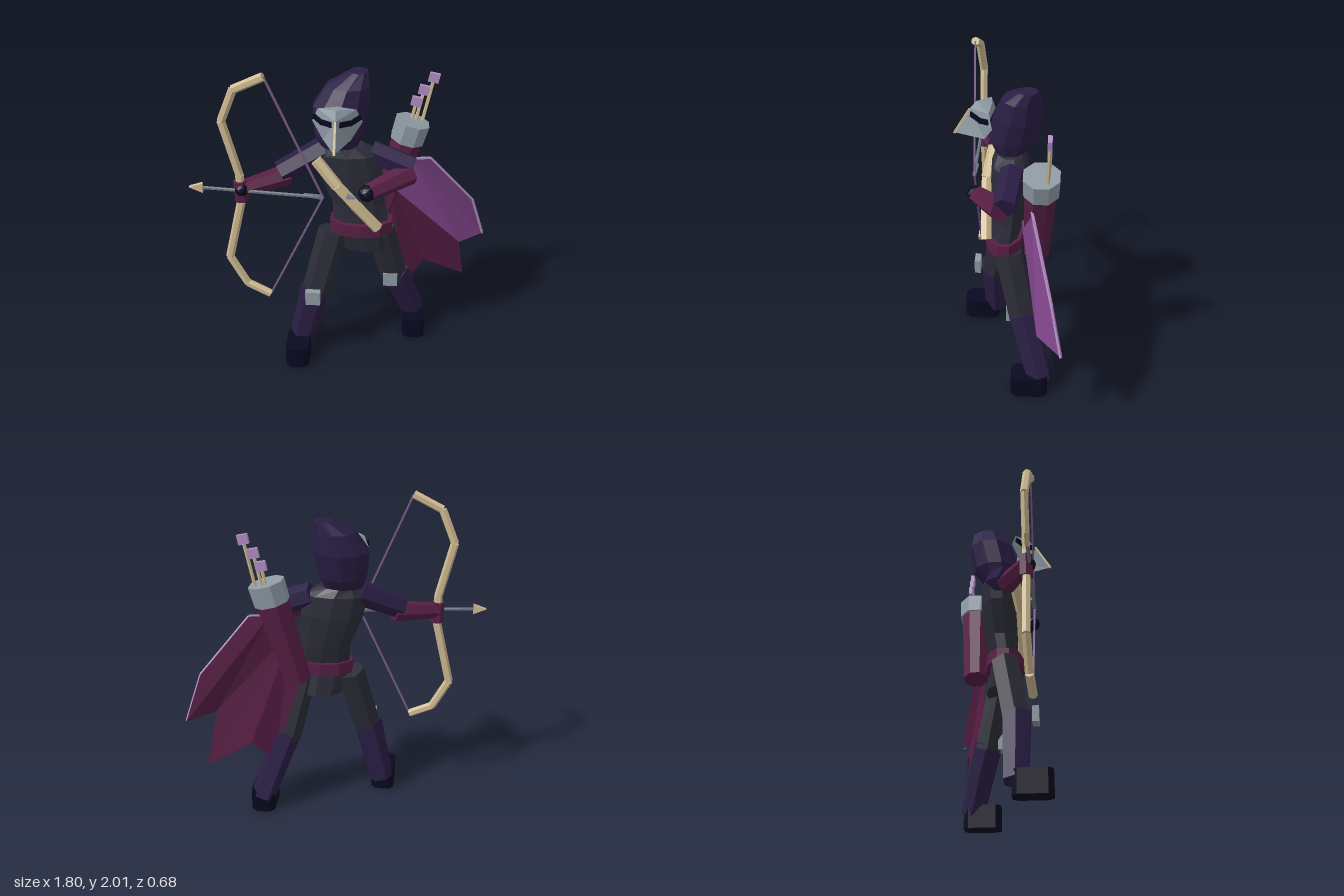
import * as THREE from 'three';

const colours = {
  darkViolet: 0x2a1e45, charcoal: 0x2c2c38, maroon: 0x581f45, capePurple: 0x7c4285, paleSteel: 0x8f9aa4,
  wood: 0xd0bc92, midnight: 0x080820, lilac: 0xb28fc4, arrowSteel: 0x6c767f, bowstringPurple: 0x7d5c8a,
};
const M = {};

// Gives every face its own flat normal
function facet(geometry) {
  const g = geometry.index ? geometry.toNonIndexed() : geometry;
  g.computeVertexNormals();
  return g;
}

export function createModel() {
  const model = new THREE.Group();
  model.name = 'hoodedArcher';
  for (const [name, color] of Object.entries(colours)) {
    M[name] = new THREE.MeshStandardMaterial({ color });
    M[name].name = name;
  }
  M.maroon.side = M.paleSteel.side = THREE.DoubleSide;
  const V = (p) => new THREE.Vector3(...p);
  const add = (name, geometry, material) => {
    const mesh = new THREE.Mesh(facet(geometry), material);
    mesh.name = name;
    model.add(mesh);
    return mesh;
  };
  const box = (name, size, at, material) => {
    const mesh = add(name, new THREE.BoxGeometry(...size), material);
    mesh.position.set(...at);
    return mesh;
  };
  // Tapered prism between two points
  const bar = (name, a, b, ra, rb, material, sides = 6) => {
    const d = V(b).sub(V(a));
    const mesh = add(name, new THREE.CylinderGeometry(rb, ra, d.length(), sides).rotateY(Math.PI / sides), material);
    mesh.position.copy(V(a)).addScaledVector(d, 0.5);
    mesh.quaternion.setFromUnitVectors(new THREE.Vector3(0, 1, 0), d.normalize());
    return mesh;
  };
  const chain = (name, points, r, material, sides) =>
    points.slice(1).forEach((p, i) => bar(name, points[i], p, r, r, material, sides));
  // Stack of elliptical rings, top to bottom: [y, centreX, centreZ, radiusX, radiusZ]
  const loft = (name, rings, material, sides = 10) => {
    const g = new THREE.CylinderGeometry(1, 1, 1, sides, rings.length - 1);
    const p = g.attributes.position;
    for (let i = 0; i < p.count; i++) {
      const [y, cx, cz, rx, rz] = rings[Math.round((0.5 - p.getY(i)) * (rings.length - 1))];
      p.setXYZ(i, cx + p.getX(i) * rx, y, cz + p.getZ(i) * rz);
    }
    return add(name, g, material);
  };
  const ball = (name, at, r, material) => {
    add(name, new THREE.IcosahedronGeometry(r, 1), material).position.set(...at);
  };
  const sheet = (name, points, faces, material) => {
    const g = new THREE.BufferGeometry();
    g.setAttribute('position', new THREE.Float32BufferAttribute(faces.flatMap((f) => f.flatMap((i) => points[i])), 3));
    return add(name, g, material);
  };
  // Flat outline with a thickness
  const slab = (outline, depth) =>
    new THREE.ExtrudeGeometry(new THREE.Shape(outline.map((p) => new THREE.Vector2(...p))), { depth, bevelEnabled: false });
  // Shoe: block with chamfered corners, standing on the ground
  const shoe = (name, x, z) => {
    const w = 0.0735, l = 0.115, c = 0.03;
    const outline = [[w - c, -l], [w, c - l], [w, l - c], [w - c, l], [c - w, l], [-w, l - c], [-w, c - l], [c - w, -l]];
    add(name, slab(outline, 0.145).rotateX(-Math.PI / 2), M.midnight).position.set(x, 0, z);
  };

  // Torso, belt and hood
  loft('torso', [[1.48, -0.02, 0, 0.13, 0.09], [1.43, 0.01, 0, 0.2, 0.11], [1.3, 0.03, 0, 0.2, 0.115],
    [1.1, 0.08, 0.01, 0.165, 0.1], [0.95, 0.1, 0.03, 0.18, 0.09], [0.77, 0.13, 0, 0.16, 0.09]], M.charcoal);
  loft('belt', [[0.99, 0.1, 0.03, 0.2, 0.122], [0.91, 0.1, 0.03, 0.2, 0.122]], M.maroon);
  loft('hood', [[1.9, 0.07, -0.1, 0.055, 0.06], [1.83, 0.01, -0.065, 0.13, 0.115], [1.71, -0.03, -0.045, 0.17, 0.145],
    [1.55, -0.04, -0.01, 0.145, 0.145], [1.48, -0.04, 0, 0.12, 0.1]], M.darkViolet);

  // Beaked mask with eye slits; each half mirrored about its centre line
  for (const s of [-1, 1]) {
    const pts = [[0, 1.78, 0.2], [0.11, 1.755, 0.12], [0.145, 1.67, 0.1], [0.08, 1.575, 0.15], [0, 1.57, 0.325], [0, 1.73, 0.24], [0, 1.765, 0.11]]
      .map(([x, y, z]) => [s * x - 0.04, y, z]);
    const faces = [[0, 5, 1], [1, 5, 2], [2, 5, 3], [3, 5, 4], [0, 1, 6]];
    sheet('maskHalf', pts, s > 0 ? faces : faces.map((f) => [...f].reverse()), M.paleSteel);
    // Two short plates bend each eye into a shallow arc
    for (const [x, z, tilt] of [[0.052, 0.205, -0.15], [0.106, 0.152, 0.22]]) {
      const eye = box('eyeSlit', [0.08, 0.032, 0.009], [s * x - 0.04, 1.702, z], M.midnight);
      eye.rotation.set(0, s * 0.8, s * tilt);
    }
  }
  bar('beakRidge', [-0.04, 1.73, 0.24], [-0.04, 1.57, 0.335], 0.008, 0.01, M.wood, 4);

  // Arms
  bar('rightUpperArm', [-0.13, 1.44, 0], [-0.385, 1.32, 0.1], 0.078, 0.072, M.darkViolet);
  bar('rightForearm', [-0.34, 1.3, 0.08], [-0.6, 1.265, 0.21], 0.066, 0.048, M.maroon);
  ball('rightHand', [-0.595, 1.268, 0.225], 0.042, M.midnight);
  bar('leftUpperArm', [0.15, 1.425, -0.02], [0.4, 1.335, 0.01], 0.075, 0.075, M.darkViolet);
  bar('leftForearm', [0.39, 1.315, 0.03], [0.15, 1.26, 0.19], 0.072, 0.054, M.maroon);
  ball('leftHand', [0.14, 1.26, 0.2], 0.052, M.midnight);

  // Legs, knee pads and shoes
  const legs = {
    right: { hip: [-0.075, 0.9, 0.045], knee: [-0.185, 0.47, 0.12], ankle: [-0.285, 0.09, 0.12], pad: [-0.19, 0.503, 0.23], shoe: [-0.293, 0.213] },
    left: { hip: [0.215, 0.9, 0], knee: [0.315, 0.47, -0.095], ankle: [0.46, 0.09, -0.21], pad: [0.29, 0.503, -0.01], shoe: [0.457, -0.145] },
  };
  for (const [side, l] of Object.entries(legs)) {
    bar(side + 'Thigh', l.knee, l.hip, 0.088, 0.092, M.charcoal);
    bar(side + 'Shin', l.ankle, [l.knee[0], l.knee[1] + 0.04, l.knee[2]], 0.078, 0.093, M.darkViolet);
    box(side + 'KneePad', [0.092, 0.095, 0.04], l.pad, M.paleSteel);
    shoe(side + 'Shoe', ...l.shoe);
  }

  // Chest strap and its buckle
  chain('chestStrap', [[-0.165, 1.42, 0.11], [-0.04, 1.27, 0.145], [0.07, 1.14, 0.145], [0.205, 0.98, 0.135]], 0.036, M.wood);
  bar('strapBuckle', [0.02, 1.225, 0.18], [0.07, 1.21, 0.18], 0.022, 0.006, M.paleSteel, 4);

  // Bow, string and nocked arrow
  const upperTip = [-0.43, 1.985, 0.238], lowerTip = [-0.455, 0.52, 0.23], nock = [-0.115, 1.24, 0.232];
  chain('bowLimb', [upperTip, [-0.605, 1.9, 0.225], [-0.688, 1.7, 0.212], [-0.605, 1.36, 0.212], [-0.605, 1.18, 0.212],
    [-0.7, 0.78, 0.212], [-0.6, 0.59, 0.22], lowerTip], 0.026, M.wood);
  bar('bowGrip', [-0.6, 1.19, 0.212], [-0.605, 1.32, 0.212], 0.042, 0.042, M.maroon);
  chain('bowString', [upperTip, nock, lowerTip], 0.008, M.bowstringPurple, 4);
  bar('arrowShaft', nock, [-0.84, 1.276, 0.232], 0.011, 0.011, M.arrowSteel);
  add('arrowHead', slab([[-0.905, 1.28], [-0.825, 1.245], [-0.825, 1.307]], 0.026), M.wood).position.z = 0.219;
  bar('arrowTail', nock, [-0.23, 1.246, 0.222], 0.016, 0.012, M.arrowSteel, 4);

  // Quiver with three spare arrows
  bar('quiver', [0.22, 0.92, -0.17], [0.37, 1.46, -0.19], 0.08, 0.098, M.maroon, 8);
  bar('quiverRim', [0.36, 1.425, -0.193], [0.393, 1.55, -0.194], 0.107, 0.111, M.paleSteel, 8);
  for (const [x, y] of [[0.41, 1.66], [0.452, 1.735], [0.508, 1.815]]) {
    bar('spareArrow', [x - 0.075, y - 0.36, -0.225], [x, y, -0.235], 0.011, 0.011, M.wood, 5);
    box('fletching', [0.062, 0.057, 0.025], [x, y, -0.235], M.lilac).rotation.z = -0.2;
  }

  // Windblown cape: lined upper flap and folded lower flap
  const flap = [[0.39, 1.32, -0.14], [0.27, 1.16, -0.08], [0.73, 0.69, -0.19], [0.89, 0.68, -0.33], [0.8, 0.97, -0.27], [0.51, 1.32, -0.16]];
  const fan = [[0, 1, 2], [0, 2, 3], [0, 3, 4], [0, 4, 5]];
  sheet('capeLining', flap, fan, M.capePurple);
  sheet('capeUpperBack', flap.map(([x, y, z]) => [x, y, z - 0.012]), fan.map((f) => [...f].reverse()), M.maroon);
  chain('capeTrim', [flap[0], flap[5], flap[4], flap[3]], 0.009, M.lilac, 4);
  sheet('capeLowerFlap', [[0.27, 1.2, -0.09], [0.2, 0.95, -0.1], [0.38, 0.35, -0.18], [0.51, 0.5, -0.25], [0.78, 0.36, -0.31], [0.72, 0.72, -0.24]],
    [[0, 1, 2], [0, 2, 3], [0, 3, 4], [0, 4, 5]], M.maroon);
  return model;
}
